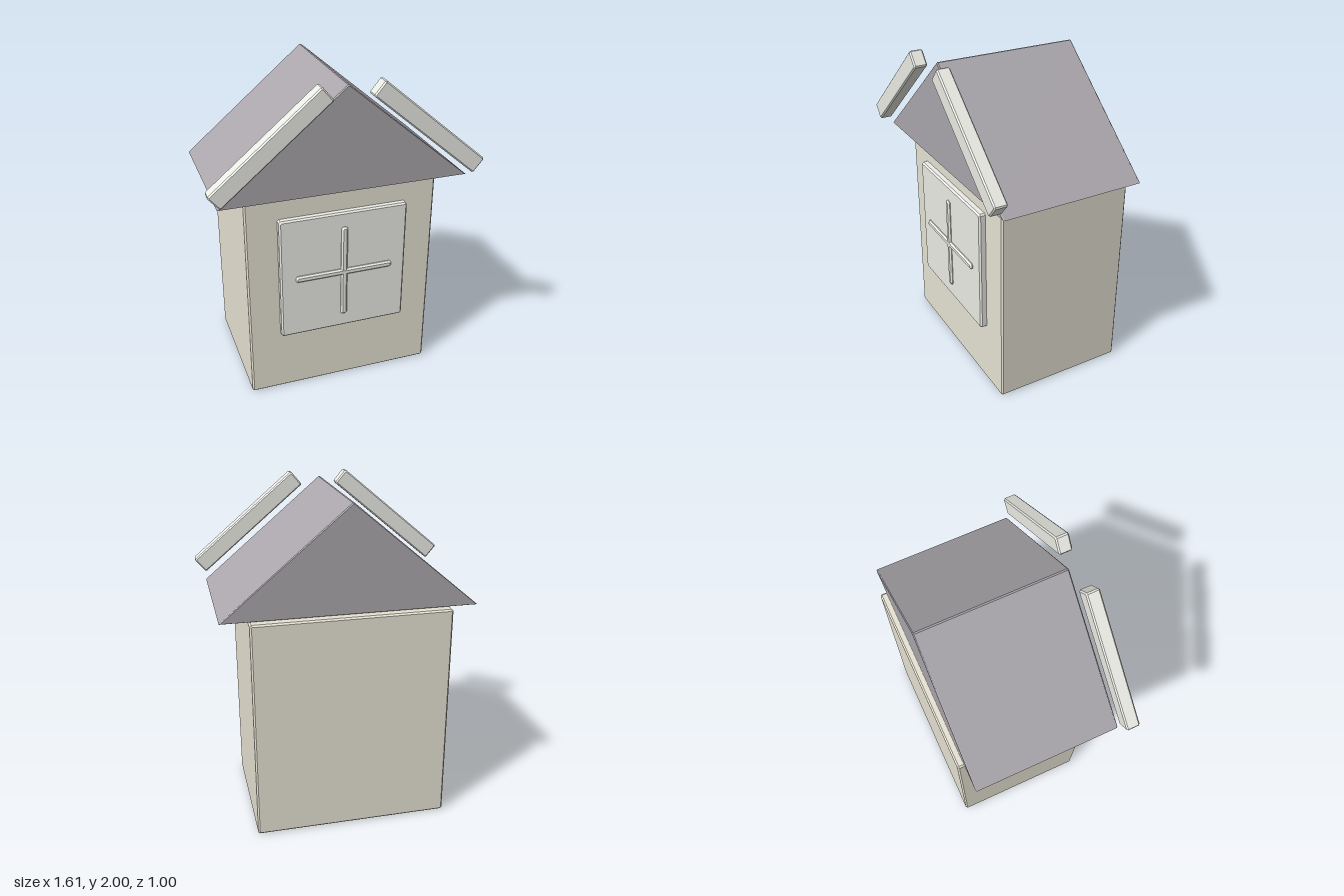
import * as THREE from 'three';

const material = (color) => new THREE.MeshStandardMaterial({ color, flatShading: true });

// Extrudes an outline from z0 to z1 with small chamfers around both ends
function prism(name, points, z0, z1, bevel, mat) {
  const geometry = new THREE.ExtrudeGeometry(new THREE.Shape(points), {
    depth: z1 - z0 - 2 * bevel,
    bevelEnabled: true,
    bevelThickness: bevel,
    bevelSize: bevel,
    bevelOffset: -bevel,
    bevelSegments: 1,
  });
  geometry.translate(0, 0, z0 + bevel);
  const mesh = new THREE.Mesh(geometry, mat);
  mesh.name = name;
  return mesh;
}

// Block centred on x and y with every edge chamfered
function block(name, width, height, z0, z1, bevel, mat) {
  const w = width / 2, h = height / 2, b = bevel;
  const outline = [
    [w - b, -h], [w, -h + b], [w, h - b], [w - b, h],
    [-w + b, h], [-w, h - b], [-w, -h + b], [-w + b, -h],
  ].map(([x, y]) => new THREE.Vector2(x, y));
  return prism(name, outline, z0, z1, bevel, mat);
}

export function createModel() {
  const model = new THREE.Group();
  model.name = 'dormer';
  const wall = material(0xe6e2d3);
  const trim = material(0xecece6);
  const slate = material(0xaaa6ac);

  // Walls
  const body = block('body', 1.17, 1.34, -0.5, 0.335, 0.01, wall);
  body.position.y = 0.67;
  model.add(body);

  // Gable roof
  const gable = [[-0.745, 1.345], [0.745, 1.345], [0.005, 1.968], [-0.005, 1.968]]
    .map(([x, y]) => new THREE.Vector2(x, y));
  model.add(prism('roof', gable, -0.46, 0.415, 0.006, slate));

  // Window panel with crossed bars
  const window = new THREE.Group();
  window.name = 'window';
  window.position.y = 0.8;
  window.add(
    block('windowPanel', 0.79, 0.79, 0.3, 0.375, 0.01, trim),
    block('horizontalBar', 0.605, 0.04, 0.35, 0.391, 0.01, trim),
    block('verticalBar', 0.04, 0.605, 0.35, 0.39, 0.01, trim),
  );
  model.add(window);

  // Sloping boards along the front of the gable
  for (const side of [-1, 1]) {
    const board = block(side > 0 ? 'leftBoard' : 'rightBoard', 0.826, 0.105, 0.42, 0.5, 0.008, trim);
    board.position.set(side * 0.459, 1.695, 0);
    board.rotation.z = -side * THREE.MathUtils.degToRad(40);
    model.add(board);
  }

  return model;
}
